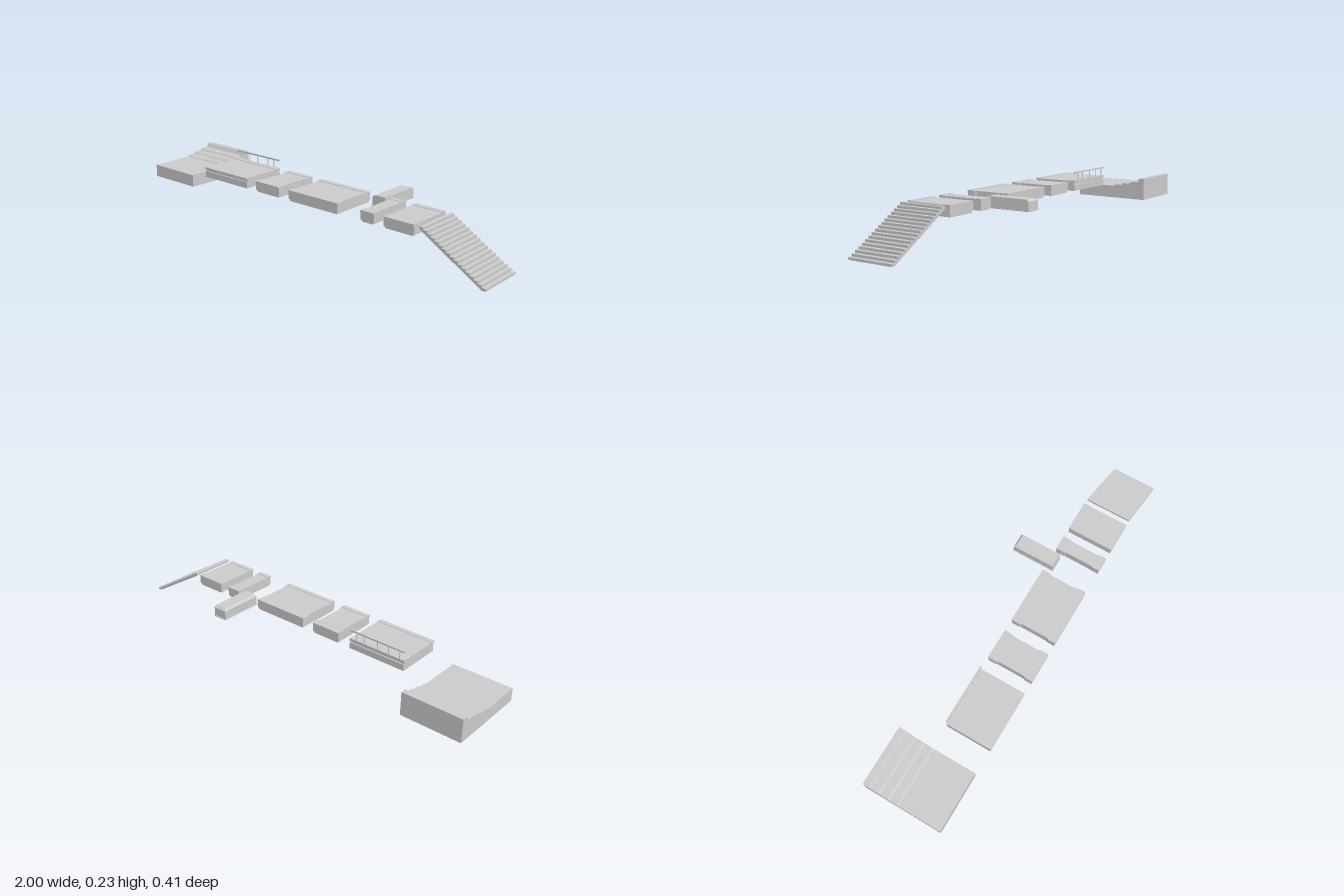
import * as THREE from 'three';

const material = new THREE.MeshStandardMaterial({ color: 0xcccccc, flatShading: true });

function add(parent, name, geometry) {
  const mesh = new THREE.Mesh(geometry, material);
  mesh.name = name;
  parent.add(mesh);
  return mesh;
}

// Box given by its limits on each axis
function block(parent, name, x0, x1, y0, y1, z0, z1) {
  const g = new THREE.BoxGeometry(x1 - x0, y1 - y0, z1 - z0);
  g.translate((x0 + x1) / 2, (y0 + y1) / 2, (z0 + z1) / 2);
  return add(parent, name, g);
}

function extrude(points, depth) {
  const shape = new THREE.Shape(points.map(([a, b]) => new THREE.Vector2(a, b)));
  return new THREE.ExtrudeGeometry(shape, { depth, bevelEnabled: false });
}

// Box whose top face is pulled in by a separate amount on each side
function taperedBlock(parent, name, x0, x1, y0, y1, z0, z1, inset) {
  const mesh = block(parent, name, x0, x1, y0, y1, z0, z1);
  const p = mesh.geometry.attributes.position;
  const midX = (x0 + x1) / 2, midZ = (z0 + z1) / 2, midY = (y0 + y1) / 2;
  for (let i = 0; i < p.count; i++) {
    if (p.getY(i) < midY) continue;
    p.setX(i, p.getX(i) < midX ? x0 + inset.left : x1 - inset.right);
    p.setZ(i, p.getZ(i) < midZ ? z0 + inset.back : z1 - inset.front);
  }
  mesh.geometry.computeVertexNormals();
}

const BACK = -0.022, FRONT = 0.203;

// Raised edging along the front and back of a platform
function edging(parent, x0, x1) {
  block(parent, 'frontEdging', x0, x1, 0.184, 0.191, 0.183, FRONT + 0.003);
  block(parent, 'backEdging', x0, x1, 0.184, 0.191, BACK - 0.001, 0.004);
}

// Platform with slightly waisted sides and an inset base
function platform(root, name, x0, x1, waist) {
  const g = new THREE.Group();
  g.name = name;
  const plan = [
    [x0, -FRONT], [x1, -FRONT], [x1, -0.17], [x1 - waist, -0.155],
    [x1 - waist, -0.03], [x1, -0.015], [x1, -BACK], [x0, -BACK],
    [x0, -0.015], [x0 + waist, -0.03], [x0 + waist, -0.155], [x0, -0.17],
  ];
  const body = extrude(plan, 0.041);
  body.rotateX(-Math.PI / 2);
  body.translate(0, 0.148, 0);
  add(g, 'platformBody', body);
  block(g, 'platformBase', x0 + 0.006, x1 - 0.006, 0.139, 0.148, BACK + 0.003, FRONT - 0.003);
  edging(g, x0, x1);
  root.add(g);
}

export function createModel() {
  const root = new THREE.Group();
  root.name = 'platformSet';

  // Stepped block, rising towards the back with sloped risers
  const profile = [
    [0.19, 0.062], [0.19, 0.123], [-0.022, 0.123], [-0.03, 0.131],
    [-0.066, 0.131], [-0.076, 0.141], [-0.113, 0.141], [-0.122, 0.151],
    [-0.16, 0.151], [-0.172, 0.171], [-0.198, 0.171], [-0.198, 0.06],
  ];
  const steppedBlock = extrude(profile.map(([z, y]) => [-z, y]).reverse(), 0.29);
  steppedBlock.rotateY(Math.PI / 2);
  steppedBlock.translate(-1, 0, 0);
  add(root, 'steppedBlock', steppedBlock);

  // Platform with a groove and a railing along the back
  const railed = new THREE.Group();
  railed.name = 'railedPlatform';
  block(railed, 'lowerBody', -0.597, -0.305, 0.14, 0.17, BACK, FRONT - 0.002);
  block(railed, 'groove', -0.597, -0.305, 0.17, 0.179, BACK + 0.006, FRONT - 0.008);
  block(railed, 'topSlab', -0.597, -0.305, 0.179, 0.189, BACK, FRONT - 0.002);
  edging(railed, -0.597, -0.305);
  for (const x of [-0.572, -0.513, -0.455, -0.383, -0.342]) {
    block(railed, 'railPost', x - 0.0015, x + 0.0015, 0.189, 0.228, -0.021, -0.018);
  }
  block(railed, 'handrail', -0.597, -0.305, 0.227, 0.234, -0.023, -0.016);
  root.add(railed);

  // Plain and waisted platforms
  platform(root, 'shortPlatform', -0.242, -0.092, 0.006);
  platform(root, 'longPlatform', -0.033, 0.256, 0.006);
  platform(root, 'narrowPlatform', 0.383, 0.455, 0.004);
  platform(root, 'landingPlatform', 0.506, 0.658, 0);

  // Walkway set back from the row, chamfered at its left and back top edges
  const walkway = new THREE.Group();
  walkway.name = 'walkway';
  block(walkway, 'walkwayBase', 0.291, 0.366, 0.139, 0.143, -0.207, 0.012);
  block(walkway, 'walkwayBody', 0.294, 0.364, 0.143, 0.182, -0.203, 0.008);
  taperedBlock(walkway, 'walkwayTop', 0.294, 0.364, 0.182, 0.191, -0.203, 0.008,
    { left: 0.012, right: 0, back: 0.011, front: 0 });
  root.add(walkway);

  // Thin flight of stairs descending to the ground
  const steps = 17, run = 0.315 / steps, rise = 0.19 / steps;
  const side = [[0.685, 0.178], [0.982, 0], [1, 0]];
  for (let i = steps - 1; i >= 0; i--) {
    const x = 0.685 + i * run, y = 0.19 - i * rise;
    side.push([x + run, y], [x, y]);
  }
  const stairs = extrude(side, 0.225);
  stairs.translate(0, 0, -0.02);
  add(root, 'stairs', stairs);

  return root;
}
